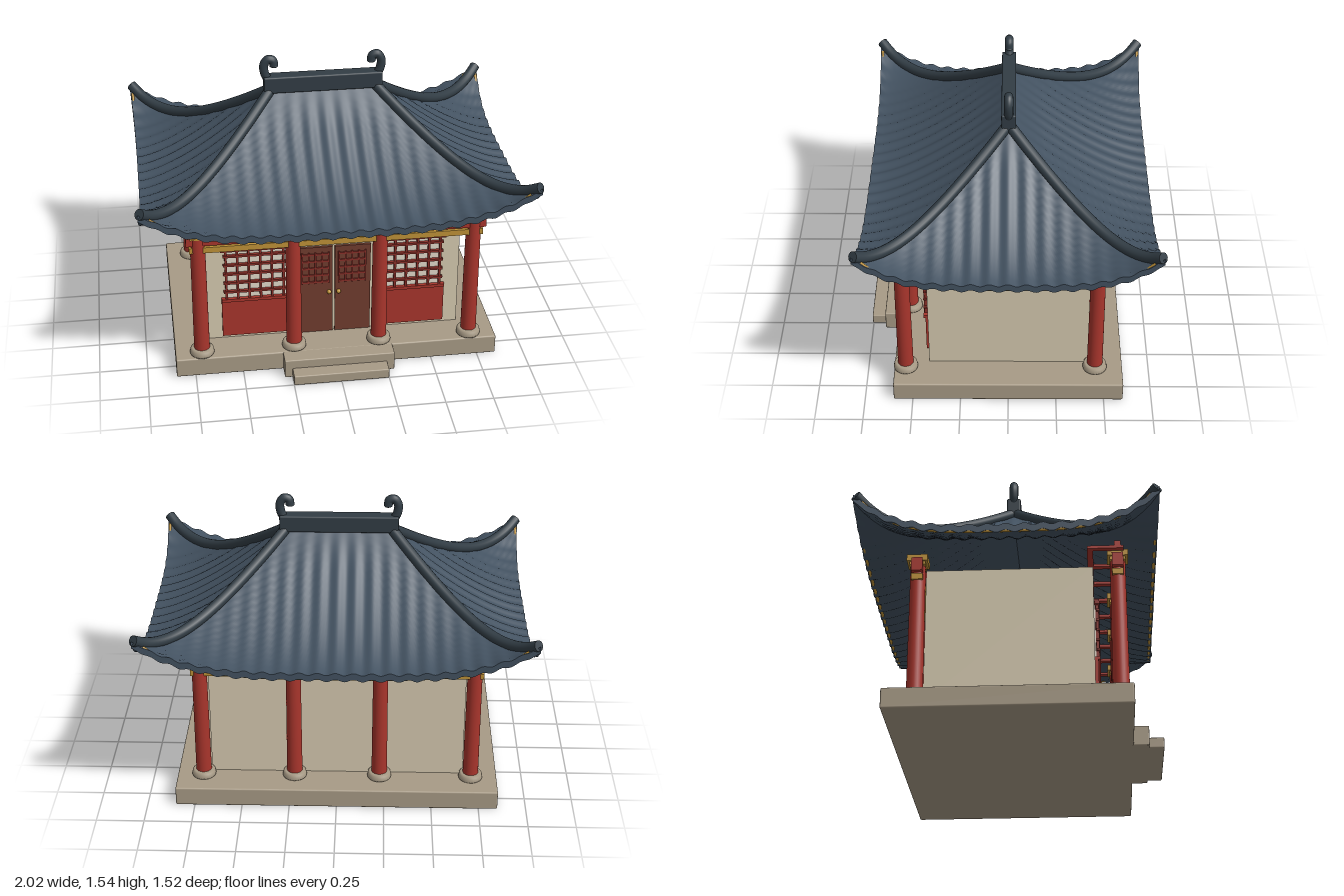
import * as THREE from 'three';
import { RoundedBoxGeometry } from 'three/addons/geometries/RoundedBoxGeometry.js';

const mat = (color, side = THREE.FrontSide) => new THREE.MeshStandardMaterial({ color, side });

export function createModel() {
  const model = new THREE.Group();
  const stone = mat(0xa89b86), cream = mat(0xd6cab0), pane = mat(0xe2dacb);
  const red = mat(0xa8352c), latticeRed = mat(0x8a2f28), wood = mat(0x703c2e), gold = mat(0xbf9238);
  const tile = mat(0x435261, THREE.DoubleSide), ridgeTile = mat(0x323d45);

  const add = (name, geometry, material, x = 0, y = 0, z = 0, parent = model) => {
    const mesh = new THREE.Mesh(geometry, material);
    mesh.name = name;
    mesh.position.set(x, y, z);
    parent.add(mesh);
    return mesh;
  };
  // Box given by its minimum and maximum on each axis
  const box = (name, material, x0, x1, y0, y1, z0, z1, bevel = 0, parent = model) => {
    const s = [x1 - x0, y1 - y0, z1 - z0];
    const g = bevel ? new RoundedBoxGeometry(...s, 2, bevel) : new THREE.BoxGeometry(...s);
    return add(name, g, material, (x0 + x1) / 2, (y0 + y1) / 2, (z0 + z1) / 2, parent);
  };
  const curve = (pts) => new THREE.CatmullRomCurve3(pts);

  // Platform and steps
  box('platform', stone, -0.85, 0.85, 0, 0.105, -0.6, 0.6, 0.008);
  box('upperStep', stone, -0.29, 0.29, 0, 0.104, 0.58, 0.68, 0.006);
  box('lowerStep', stone, -0.25, 0.25, 0, 0.055, 0.66, 0.755, 0.006);

  // Hall walls
  box('walls', cream, -0.67, 0.67, 0.1, 0.81, -0.418, 0.418);

  // Columns with stone feet and gilded capitals, and the beams they carry
  const foot = new THREE.LatheGeometry([[0, 0], [0.062, 0], [0.064, 0.01], [0.06, 0.03], [0.05, 0.037], [0, 0.037]]
    .map(([r, y]) => new THREE.Vector2(r, y)), 28);
  const shaft = new THREE.CylinderGeometry(0.038, 0.041, 0.71, 28);
  for (const z of [0.54, -0.455]) {
    for (const x of [-0.71, -0.225, 0.225, 0.71]) {
      add('columnFoot', foot, stone, x, 0.104, z);
      add('column', shaft, red, x, 0.48, z);
      box('capital', gold, x - 0.052, x + 0.052, 0.825, 0.858, z - 0.052, z + 0.052);
      box('capitalNeck', gold, x - 0.04, x + 0.04, 0.808, 0.826, z - 0.04, z + 0.04);
    }
    box('mainBeam', red, -0.77, 0.77, 0.767, 0.838, z - 0.028, z + 0.028);
    box('giltBeam', gold, -0.755, 0.755, 0.725, 0.757, z - 0.028, z + 0.028);
  }

  // Open rafter frame over the porch
  box('porchFrontPurlin', red, -0.8, 0.8, 0.852, 0.885, 0.525, 0.557);
  box('porchRearPurlin', red, -0.8, 0.8, 0.845, 0.86, 0.39, 0.42);
  for (let i = 0; i < 9; i++) {
    const x = -0.785 + i * 1.57 / 8;
    box('porchRafter', red, x - 0.015, x + 0.015, 0.845, 0.86, 0.39, 0.57);
  }

  // Double doors and windows, mirrored left and right
  for (const side of [-1, 1]) {
    const span = (name, m, a, b, y0, y1, z0, z1) =>
      box(name, m, Math.min(side * a, side * b), Math.max(side * a, side * b), y0, y1, z0, z1);
    span('door', wood, 0.006, 0.195, 0.107, 0.63, 0.415, 0.432);
    for (let i = 0; i < 5; i++) {
      const x = 0.027 + i * 0.035, y = 0.42 + i * 0.042;
      span('doorLatticeUpright', latticeRed, x - 0.004, x + 0.004, 0.41, 0.6, 0.43, 0.439);
      span('doorLatticeRail', latticeRed, 0.023, 0.171, y - 0.005, y + 0.005, 0.43, 0.438);
    }
    add('doorKnob', new THREE.SphereGeometry(0.012, 16, 10), gold, side * 0.025, 0.357, 0.44);

    span('windowPane', pane, 0.24, 0.57, 0.355, 0.65, 0.416, 0.424);
    span('windowApron', red, 0.225, 0.592, 0.125, 0.355, 0.415, 0.435);
    span('windowSill', red, 0.225, 0.592, 0.34, 0.357, 0.425, 0.445);
    span('windowHead', latticeRed, 0.225, 0.592, 0.645, 0.67, 0.42, 0.445);
    for (let i = 0; i < 6; i++) {
      const x = 0.265 + i * 0.06;
      span('windowUpright', latticeRed, x - 0.006, x + 0.006, 0.35, 0.65, 0.425, 0.441);
    }
    for (let i = 0; i < 5; i++) {
      const y = 0.4 + i * 0.054;
      span('windowRail', latticeRed, 0.235, 0.58, y - 0.006, y + 0.006, 0.427, 0.444);
    }
  }

  // Roof surface: u runs along the eave (-1..1), v from ridge (0) to eave (1)
  const RIDGE = 0.27, EX = 0.985, EZ = 0.735;
  const roofPoint = (isSide, u, v, drop = 0) => {
    const hx = RIDGE + (EX - RIDGE) * v, hz = EZ * v;
    const corner = u ** 4 * v ** 5;
    const x = isSide ? hx : hx * u, z = isSide ? hz * u : hz;
    const ribs = 0.007 * Math.cos(2 * Math.PI * (isSide ? z : x) / 0.09) * (1 - u ** 12) * Math.min(1, v * 4);
    const y = 0.892 + 0.45 * (1 - v) ** 1.5 + 0.18 * corner + ribs - drop;
    return new THREE.Vector3(x + 0.015 * corner * Math.sign(x), y, z + 0.015 * corner * Math.sign(z));
  };
  const grid = (fn, nu, nv) => {
    const pos = [], index = [];
    for (let j = 0; j <= nv; j++) for (let i = 0; i <= nu; i++) {
      pos.push(...fn(i / nu * 2 - 1, j / nv).toArray());
      if (i < nu && j < nv) {
        const a = j * (nu + 1) + i, b = a + nu + 1;
        index.push(a, b, a + 1, b, b + 1, a + 1);
      }
    }
    const g = new THREE.BufferGeometry();
    g.setAttribute('position', new THREE.Float32BufferAttribute(pos, 3));
    g.setIndex(index);
    g.computeVertexNormals();
    return g;
  };
  const THICK = 0.036;
  for (const isSide of [false, true]) {
    const nu = isSide ? 128 : 168;
    const top = grid((u, v) => roofPoint(isSide, u, v), nu, 20);
    const under = grid((u, v) => roofPoint(isSide, -u, v, THICK), nu, 20);
    const edge = grid((u, t) => roofPoint(isSide, u, 1, THICK * t), nu, 1);
    const trimPts = [];
    for (let i = 0; i <= 40; i++) {
      const u = (i / 20 - 1) * 0.96;
      const p = roofPoint(isSide, u, 0.985);
      p.y = 0.862 + 0.18 * u ** 4 + 0.03 * u ** 10;
      trimPts.push(p);
    }
    const trim = new THREE.TubeGeometry(curve(trimPts), 80, 0.008, 8);
    for (const turn of [0, Math.PI]) {
      const slope = new THREE.Group();
      slope.name = isSide ? 'sideRoof' : 'mainRoof';
      slope.rotation.y = turn;
      add('tiles', top, tile, 0, 0, 0, slope);
      add('underside', under, tile, 0, 0, 0, slope);
      add('eaveEdge', edge, tile, 0, 0, 0, slope);
      add('eaveTrim', trim, gold, 0, 0, 0, slope);
      model.add(slope);
    }
  }

  // Hip ridges, sweeping up at the corners
  for (const sx of [-1, 1]) for (const sz of [-1, 1]) {
    const pts = [];
    for (let i = 0; i <= 16; i++) {
      const p = roofPoint(false, 1, 0.985 * i / 16);
      pts.push(new THREE.Vector3(sx * p.x, p.y + 0.01, sz * p.z));
    }
    const path = curve(pts);
    add('hipRidge', new THREE.TubeGeometry(path, 48, 0.028, 14), ridgeTile);
    const cap = add('hipCap', new THREE.CylinderGeometry(0.028, 0.028, 0.006, 14), ridgeTile);
    cap.position.copy(path.getPoint(1));
    cap.quaternion.setFromUnitVectors(new THREE.Vector3(0, 1, 0), path.getTangent(1));
  }

  // Main ridge with curled finials
  box('mainRidge', ridgeTile, -0.31, 0.31, 1.335, 1.425, -0.037, 0.037, 0.008);
  for (const s of [-1, 1]) {
    const hook = curve([[0.285, 1.4], [0.303, 1.44], [0.306, 1.485], [0.285, 1.515], [0.26, 1.508], [0.254, 1.48]]
      .map(([x, y]) => new THREE.Vector3(s * x, y, 0)));
    add('finial', new THREE.TubeGeometry(hook, 40, 0.023, 14), ridgeTile);
    const end = add('finialTip', new THREE.SphereGeometry(0.023, 14, 10), ridgeTile);
    end.position.copy(hook.getPoint(1));
    end.scale.y = 0.5;
  }
  return model;
}
